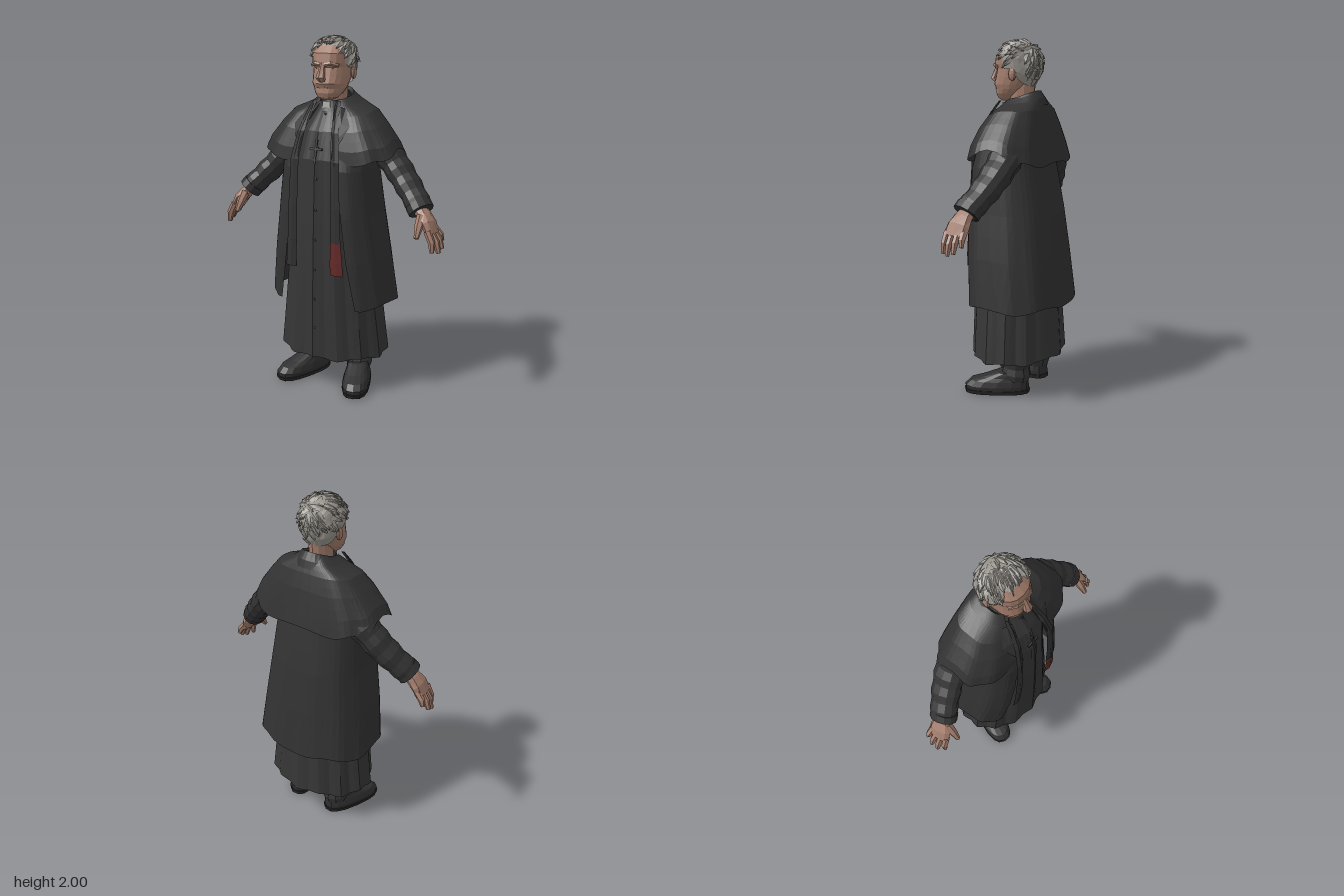
import * as THREE from 'three';
import { mergeGeometries } from 'three/addons/utils/BufferGeometryUtils.js';

const mat = (name, color, side = THREE.FrontSide) => {
  const m = new THREE.MeshStandardMaterial({ color, side });
  m.name = name;
  return m;
};

// Faceted surface from a rule fn(u, v, i, j) -> [x, y, z]
function grid(nu, nv, fn) {
  const pos = [], idx = [];
  for (let j = 0; j <= nv; j++)
    for (let i = 0; i <= nu; i++) pos.push(...fn(i / nu, j / nv, i, j));
  for (let j = 0; j < nv; j++)
    for (let i = 0; i < nu; i++) {
      const a = j * (nu + 1) + i, b = a + 1, c = a + nu + 1, d = c + 1;
      idx.push(a, b, d, a, d, c);
    }
  const g = new THREE.BufferGeometry();
  g.setAttribute('position', new THREE.Float32BufferAttribute(pos, 3));
  g.setIndex(idx);
  return facet(g);
}
function facet(g) {
  const f = g.index ? g.toNonIndexed() : g;
  f.deleteAttribute('uv');
  f.computeVertexNormals();
  return f;
}
// Linear lookup in a table whose first column rises
function at(table, y) {
  let k = 0;
  while (k < table.length - 2 && y > table[k + 1][0]) k++;
  const a = table[k], b = table[k + 1];
  const t = THREE.MathUtils.clamp((y - a[0]) / (b[0] - a[0]), 0, 1);
  return a.map((v, i) => v + (b[i] - v) * t);
}
// Upright shell from rows [y, halfWidth, zFront, zBack, frontGap]
function shell(table, { n = 32, sub = 2, pf = 1, pb = 1, fold = 0, k = 12, tilt = 0, hem = () => 0 } = {}) {
  const rows = (table.length - 1) * sub;
  return grid(n, rows, (u, v, i, j) => {
    const q = Math.min(Math.floor(j / sub), table.length - 2), t = j / sub - q;
    const [y, rx, zf, zb, gap = 0] = table[q].map((s, c) => s + (table[q + 1][c] - s) * t);
    const a0 = gap ? Math.asin(Math.min(1, (gap / rx) ** (1 / pf))) : 0;
    const a = a0 + u * (2 * Math.PI - 2 * a0);
    const s = Math.sin(a), c = Math.cos(a), p = c > 0 ? pf : pb;
    const w = 1 + fold * Math.cos(k * a) * (1 - v);
    return [rx * w * Math.sign(s) * Math.abs(s) ** p, y + hem(a) * (1 - v) ** 2 - tilt * c,
      (zf + zb) / 2 + (zf - zb) / 2 * w * Math.sign(c) * Math.abs(c) ** p];
  });
}
// Closed limb along rows [x, y, z, radiusForward, radiusAcross]
function limb(rows, n = 8) {
  const end = r => [r[0], r[1], r[2], 0.0005, 0.0005];
  const all = [end(rows[0]), ...rows, end(rows[rows.length - 1])];
  const P = rows.map(r => new THREE.Vector3(r[0], r[1], r[2]));
  return grid(n, all.length - 1, (u, v, i, j) => {
    const m = THREE.MathUtils.clamp(j - 1, 0, P.length - 1), r = all[j];
    const t = P[Math.min(m + 1, P.length - 1)].clone().sub(P[Math.max(m - 1, 0)]).normalize();
    const b = new THREE.Vector3(0, 0, 1).addScaledVector(t, -t.z).normalize();
    const c = t.clone().cross(b), a = u * 2 * Math.PI;
    return P[m].clone().addScaledVector(b, r[3] * Math.cos(a)).addScaledVector(c, r[4] * Math.sin(a)).toArray();
  });
}
// Cloth strip from rows [y, xInner, xOuter, z]
const strip = rows => grid(2, rows.length - 1, (u, v, i, j) => {
  const [y, x0, x1, z] = rows[j];
  return [x0 + (x1 - x0) * u, y, z + (i === 1 ? 0.008 : 0)];
});
function mirrored(g) {
  const m = g.clone(), p = m.attributes.position, o = g.attributes.position;
  for (let t = 0; t < p.count; t += 3)
    [0, 2, 1].forEach((k, q) => p.setXYZ(t + q, -o.getX(t + k), o.getY(t + k), o.getZ(t + k)));
  m.computeVertexNormals();
  return m;
}

export function createModel() {
  const root = new THREE.Group();
  root.name = 'clergyman';
  const D = THREE.DoubleSide;
  const coatM = mat('coat black', 0x323232, D), robeM = mat('robe black', 0x363636, D);
  const shoeM = mat('shoe black', 0x2f2f2f), skin = mat('skin', 0xa37d6c), hairM = mat('grey hair', 0x98948d, D);
  const red = mat('red cloth', 0x642a29, D), pale = mat('collar white', 0xb4b4b0), dark = mat('sole black', 0x272625), lip = mat('lips', 0x82604f);
  const add = (name, g, m) => {
    const mesh = new THREE.Mesh(g, m);
    mesh.name = name;
    root.add(mesh);
  };
  const pair = (name, g, m) => { add(name + 'Left', g, m); add(name + 'Right', mirrored(g), m); };
  const box = (w, h, d, x, y, z) => facet(new THREE.BoxGeometry(w, h, d).translate(x, y, z));
  const ball = (x, y, z, a, b, c) => facet(new THREE.SphereGeometry(1, 8, 6).scale(a, b, c).translate(x, y, z));

  // Long robe with hanging folds
  const robe = [[0.215, 0.325, 0.272, -0.23], [0.55, 0.285, 0.266, -0.212], [1.0, 0.235, 0.25, -0.18],
    [1.35, 0.205, 0.232, -0.14], [1.5, 0.17, 0.19, -0.12], [1.6, 0.1, 0.125, -0.08], [1.66, 0.066, 0.098, -0.07]];
  add('robe', shell(robe, { n: 56, fold: 0.03, k: 14, hem: a => 0.008 * Math.cos(7 * a) }), robeM);
  add('placket', strip([0.22, 0.6, 1.0, 1.35, 1.5, 1.6].map(y => [y, -0.022, 0.022, at(robe, y)[2] + 0.003])), robeM);
  const buttons = [];
  for (let y = 0.4; y < 1.6; y += 0.17) buttons.push(ball(0.01, y, at(robe, y)[2] + 0.01, 0.007, 0.007, 0.004));
  add('buttons', mergeGeometries(buttons), coatM);

  // Open overcoat
  add('overcoat', shell([[0.53, 0.36, 0.238, -0.282, 0.235], [0.8, 0.326, 0.256, -0.252, 0.19], [1.05, 0.29, 0.258, -0.22, 0.16],
    [1.3, 0.262, 0.242, -0.175, 0.13], [1.48, 0.235, 0.195, -0.15, 0.11], [1.6, 0.15, 0.125, -0.125, 0.08]],
  { n: 44, pf: 0.58, pb: 0.85, fold: 0.012, k: 11, hem: a => 0.012 * Math.cos(5 * a) }), coatM);
  // Shoulder cape with a wavy hem arching over the arms
  add('shoulderCape', shell([[1.36, 0.398, 0.226, -0.208, 0.13], [1.43, 0.368, 0.217, -0.19, 0.12], [1.525, 0.3, 0.188, -0.168, 0.105],
    [1.6, 0.238, 0.145, -0.145, 0.09], [1.645, 0.14, 0.112, -0.125, 0.075], [1.68, 0.09, 0.08, -0.1, 0.055]],
  { n: 52, pf: 0.66, pb: 0.72, fold: 0.018, k: 10, tilt: 0.022,
    hem: a => 0.045 * Math.sin(a) ** 6 - 0.065 * Math.max(0, -Math.cos(a)) ** 0.8 + 0.01 * Math.cos(8 * a) }), coatM);
  // Turned-down collar, high at the nape, and lapels
  add('collar', shell([[1.6, 0.165, 0.145, -0.142, 0.1], [1.64, 0.128, 0.115, -0.13, 0.075], [1.68, 0.09, 0.092, -0.105, 0.05],
    [1.665, 0.078, 0.082, -0.085, 0.05]], { n: 24, sub: 1, pf: 0.85, tilt: 0.038 }), coatM);
  pair('lapel', grid(2, 3, (u, v) => {
    const y = 1.38 + 0.26 * v, w = 0.1 * Math.min(1, v * 1.4) * (v > 0.9 ? 0.5 : 1);
    return [0.1 - 0.035 * v + w * u, y - 0.02 * u, 0.246 - 0.11 * v ** 1.4 - 0.03 * u * v];
  }), coatM);
  // Scarf ends hanging in front, one tipped in red
  const scarf = [[0.74, 0.115, 0.18, 0.258], [0.9, 0.108, 0.168, 0.26], [1.1, 0.105, 0.16, 0.258], [1.35, 0.1, 0.15, 0.245],
    [1.5, 0.082, 0.125, 0.207], [1.6, 0.065, 0.1, 0.15], [1.66, 0.058, 0.085, 0.105]];
  add('scarfRight', mirrored(strip(scarf)), coatM);
  add('scarfLeft', strip(scarf.slice(1)), coatM);
  add('scarfRedEnd', strip([[0.725, 0.104, 0.184, 0.264], [0.8, 0.105, 0.182, 0.266], [0.91, 0.106, 0.17, 0.265]]), red);
  // Pendant cross lying against the chest
  const cross = mergeGeometries([box(0.012, 0.13, 0.01, 0, 0, 0), box(0.075, 0.012, 0.01, 0, 0.015, 0)]);
  add('pendantCross', cross.rotateX(-0.22).translate(0, 1.395, 0.23), coatM);

  // Creased sleeves and cuffs
  const sleeve = [];
  for (let i = 0; i <= 10; i++) {
    const t = i / 10, w = i % 2 ? 0.004 : -0.003, s = Math.min(1, 0.75 + t);
    sleeve.push([0.22 + 0.33 * t, 1.455 - 0.35 * t, -0.05 + 0.115 * t ** 2, (0.102 - 0.03 * t) * s + w, (0.082 - 0.018 * t) * s + w]);
  }
  pair('sleeve', limb(sleeve, 12), coatM);
  pair('cuff', limb([[0.525, 1.132, 0.053, 0.077, 0.069], [0.552, 1.1, 0.066, 0.078, 0.068]], 12), coatM);
  // Hands with four close fingers and a thumb
  const hand = [limb([[0.54, 1.11, 0.06, 0.045, 0.036], [0.57, 1.08, 0.07, 0.052, 0.036], [0.6, 1.045, 0.082, 0.066, 0.034], [0.63, 0.99, 0.09, 0.064, 0.024]])];
  [[0.662, 0.945, 0.035], [0.678, 0.912, 0.073], [0.674, 0.897, 0.112], [0.65, 0.905, 0.148]].forEach(([x, y, z], k) => {
    const b = 0.042 + k * 0.032;
    hand.push(limb([[0.617, 1.015, b, 0.019, 0.021], [(0.64 + x) / 2, (1.01 + y) / 2, (b + z) / 2, 0.018, 0.02], [x, y, z, 0.012, 0.012]], 6));
  });
  hand.push(limb([[0.568, 1.08, 0.1, 0.028, 0.028], [0.57, 1.03, 0.145, 0.023, 0.023], [0.573, 0.98, 0.18, 0.013, 0.013]], 6));
  pair('hand', mergeGeometries(hand), skin);

  // Rumpled trouser legs and turned-out shoes
  const leg = [];
  for (let i = 0; i <= 10; i++) leg.push([0.14, 0.08 + i * 0.036, -0.022 - 0.002 * i, i % 2 ? 0.086 : 0.077, i % 2 ? 0.08 : 0.071]);
  pair('trouserLeg', limb(leg, 10), robeM);
  const place = g => facet(g.rotateY(0.36).translate(0.15, 0, 0));
  const flat = { n: 16, sub: 1, pf: 0.75, pb: 0.8 };
  pair('shoe', place(shell([[0.022, 0.078, 0.268, -0.098], [0.045, 0.08, 0.27, -0.098], [0.075, 0.072, 0.24, -0.096],
    [0.095, 0.064, 0.17, -0.092], [0.125, 0.06, 0.085, -0.085], [0.13, 0.002, 0.0, -0.01]], flat)), shoeM);
  pair('shoeSole', place(shell([[0, 0.0001, 0.0801, 0.08], [0.002, 0.078, 0.27, -0.103], [0.024, 0.082, 0.275, -0.104], [0.026, 0.01, 0.1, 0.08]], flat)), dark);

  // Neck, clerical collar and head
  add('neck', shell([[1.58, 0.06, 0.08, -0.06], [1.76, 0.064, 0.08, -0.075]], { n: 12, sub: 1 }), skin);
  add('neckBand', shell([[1.6, 0.074, 0.112, -0.08], [1.655, 0.068, 0.1, -0.075]], { n: 16, sub: 1 }), robeM);
  add('collarTab', box(0.046, 0.045, 0.008, 0, 1.63, 0.111), pale);
  add('head', shell([[1.66, 0.02, 0.12, 0.08], [1.675, 0.055, 0.142, 0.04], [1.7, 0.076, 0.152, 0], [1.725, 0.088, 0.15, -0.03], [1.75, 0.095, 0.163, -0.05],
    [1.79, 0.1, 0.153, -0.08], [1.835, 0.101, 0.143, -0.085], [1.86, 0.102, 0.158, -0.085], [1.91, 0.104, 0.15, -0.085],
    [1.95, 0.085, 0.108, -0.07], [1.975, 0.02, 0.04, -0.01]], { n: 18, sub: 1, pf: 0.85 }), skin);
  add('nose', limb([[0, 1.768, 0.16, 0.014, 0.022], [0, 1.785, 0.178, 0.02, 0.027], [0, 1.82, 0.164, 0.016, 0.018], [0, 1.86, 0.148, 0.013, 0.014]], 6), skin);
  pair('brow', limb([[0.012, 1.85, 0.153, 0.011, 0.011], [0.045, 1.857, 0.147, 0.013, 0.012], [0.08, 1.846, 0.12, 0.011, 0.01]], 6), skin);
  pair('eye', ball(0.041, 1.832, 0.133, 0.015, 0.005, 0.005), lip);
  add('mouth', box(0.06, 0.007, 0.009, 0, 1.729, 0.149), lip);
  pair('ear', ball(0.112, 1.805, 0.012, 0.014, 0.036, 0.024), skin);

  // Hair cap with ragged hairline, covered in swept locks
  const noise = (i, j) => { const s = Math.sin(i * 12.99 + j * 78.23) * 43758.5; return s - Math.floor(s); };
  const low = a => at([[0, 1.94], [0.7, 1.925], [1.1, 1.83], [1.6, 1.838], [2, 1.76], [3.2, 1.72]], Math.PI - Math.abs(Math.PI - a))[1];
  const scalp = (a, y) => {
    const h = (y - 1.86) / 0.126;
    const r = h > 0 ? Math.sqrt(Math.max(0, 1 - h ** 2.6)) : 1 - 0.32 * h * h;
    return [0.12 * r * Math.sin(a), y, 0.016 + 0.12 * r * Math.cos(a)];
  };
  add('hair', grid(26, 8, (u, v, i, j) => {
    const a = u * 2 * Math.PI, y = low(a) + (1.986 - low(a)) * Math.sin(v * Math.PI / 2);
    const [x, yy, z] = scalp(a, y), w = j === 8 ? 1 : 0.97 + 0.07 * noise(i % 26, j);
    return [x * w, yy, 0.016 + (z - 0.016) * w];
  }), hairM);
  // Each lock is a leaf following the scalp, radiating from a whorl at the crown
  const crown = new THREE.Vector3(0.04, 1.96, -0.07);
  const lock = (k, a, y) => {
    const p = new THREE.Vector3(...scalp(a, y));
    const out = new THREE.Vector3(p.x, (p.y - 1.86) * 1.2, p.z - 0.016).normalize();
    const dir = p.clone().sub(crown).normalize().add(new THREE.Vector3(0, -0.2, 0.5 * noise(k, 3)));
    dir.addScaledVector(out, -dir.dot(out)).normalize();
    const side = dir.clone().cross(out), len = 0.06 + 0.025 * noise(k, 5);
    return grid(2, 3, (u, v) => p.clone()
      .addScaledVector(dir, len * (v - 0.4))
      .addScaledVector(side, (u - 0.5) * 0.042 * (1 - v * v))
      .addScaledVector(out, (u === 0.5 ? 0.01 : 0.001) + 0.009 * v * noise(k, 6) - 0.02 * (v - 0.4) ** 2)
      .toArray().map((c, axis) => axis === 1 ? Math.min(c, 2) : c));
  };
  const locks = [];
  for (let k = 0; k < 120; k++) {
    const a = noise(k, 1) * 2 * Math.PI, lo = low(a) + 0.025;
    locks.push(lock(k, a, lo + (1.985 - lo) * Math.sqrt(noise(k, 2))));
  }
  add('hairLocks', mergeGeometries(locks), hairM);
  return root;
}
